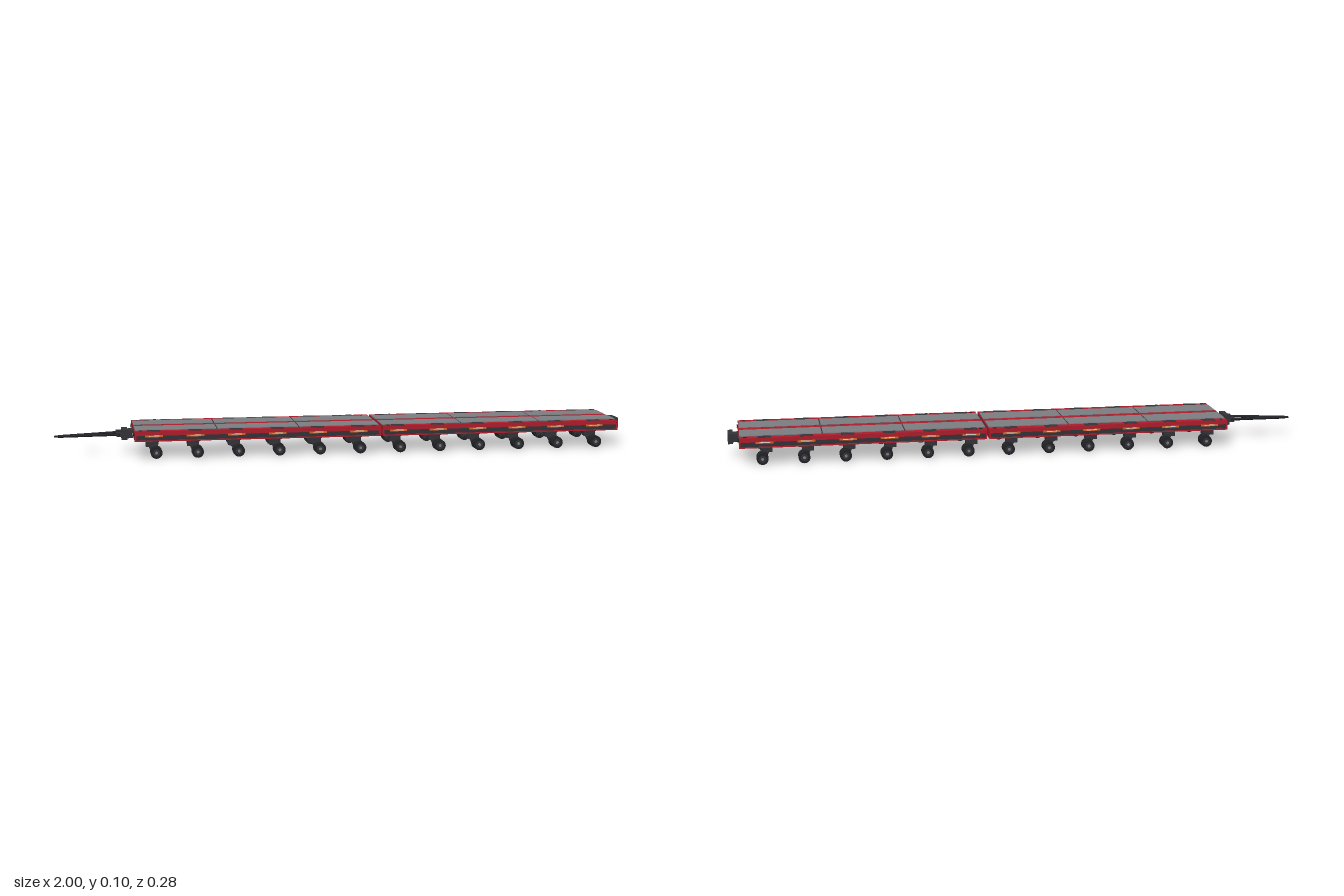
import * as THREE from 'three';

const mat = (name, color) => {
  const m = new THREE.MeshStandardMaterial({ color });
  m.name = name;
  return m;
};

export function createModel() {
  const red = mat('red paint', 0xb01c2c);
  const grey = mat('deck grey', 0x7c7f82);
  const dark = mat('dark steel', 0x343439);
  const black = mat('tyre black', 0x222326);
  const yellow = mat('yellow lamp', 0xd9b24a);
  const orange = mat('orange lamp', 0xd9641e);
  const white = mat('white lamp', 0xd8d8d4);

  const root = new THREE.Group();
  root.name = 'modularTrailer';

  // Box given by its minimum and maximum corners
  const box = (parent, name, m, x0, x1, y0, y1, z0, z1) => {
    const mesh = new THREE.Mesh(new THREE.BoxGeometry(x1 - x0, y1 - y0, z1 - z0), m);
    mesh.position.set((x0 + x1) / 2, (y0 + y1) / 2, (z0 + z1) / 2);
    mesh.name = name;
    parent.add(mesh);
    return mesh;
  };
  // The same box on both sides of the centre line
  const pair = (parent, name, m, x0, x1, y0, y1, z0, z1) => {
    box(parent, name, m, x0, x1, y0, y1, z0, z1);
    box(parent, name, m, x0, x1, y0, y1, -z1, -z0);
  };
  // Cylinder between two points
  const rod = (parent, name, m, a, b, r, sides = 16) => {
    const p = new THREE.Vector3(...a), q = new THREE.Vector3(...b);
    const d = q.clone().sub(p);
    const mesh = new THREE.Mesh(new THREE.CylinderGeometry(r, r, d.length(), sides), m);
    mesh.position.copy(p).add(q).multiplyScalar(0.5);
    mesh.quaternion.setFromUnitVectors(new THREE.Vector3(0, 1, 0), d.normalize());
    mesh.name = name;
    parent.add(mesh);
    return mesh;
  };

  // Two platform modules joined at a seam
  const modules = [[-0.73, 0.114], [0.122, 0.963]];
  modules.forEach(([x0, x1], i) => {
    const deck = new THREE.Group();
    deck.name = 'platformModule' + (i + 1);
    root.add(deck);
    box(deck, 'core', red, x0, x1, 0.06, 0.094, -0.132, 0.132);
    pair(deck, 'topRail', red, x0, x1, 0.08, 0.095, 0.132, 0.14);
    pair(deck, 'bottomRail', red, x0, x1, 0.06, 0.064, 0.132, 0.14);
    pair(deck, 'sideWeb', dark, x0 + 0.005, x1 - 0.005, 0.064, 0.08, 0.132, 0.136);
    for (const [a, b] of [[x0, x0 + 0.005], [x1 - 0.005, x1]]) {
      pair(deck, 'endCap', red, a, b, 0.06, 0.095, 0.131, 0.1405);
    }
    box(deck, 'centreStripe', red, x0, x1, 0.093, 0.0955, -0.016, 0.016);
    // Grey loading plates with dark joints
    const step = (x1 - x0) / 3;
    pair(deck, 'plateJoints', dark, x0 + 0.004, x1 - 0.004, 0.093, 0.0955, 0.017, 0.108);
    for (let k = 0; k < 3; k++) {
      const a = x0 + k * step + 0.002;
      pair(deck, 'deckPlate', grey, a, a + step - 0.004, 0.093, 0.097, 0.017, 0.109);
    }
    // Corner lashing points
    for (const x of [x0 + 0.02, x1 - 0.02]) for (const z of [-0.125, 0.125]) {
      rod(deck, 'lashingPoint', black, [x, 0.093, z], [x, 0.0957, z], 0.006);
    }
  });
  box(root, 'moduleCoupling', dark, 0.11, 0.126, 0.064, 0.088, -0.1, 0.1);

  // Twin-wheel swing axle; s is the side of the trailer
  const addBogie = (x, s) => {
    const g = new THREE.Group();
    g.name = 'wheelBogie';
    g.position.x = x;
    root.add(g);
    const zr = (a, b) => (s > 0 ? [a, b] : [-b, -a]);
    rod(g, 'turntable', dark, [-0.004, 0.052, s * 0.091], [-0.004, 0.061, s * 0.091], 0.024, 24);
    box(g, 'strut', dark, -0.026, 0.014, 0.036, 0.056, ...zr(0.079, 0.104));
    const arm = box(g, 'swingArm', dark, -0.012, 0.012, 0.014, 0.044, ...zr(0.081, 0.094));
    arm.rotation.z = 0.45;
    rod(g, 'axle', dark, [0.008, 0.02, s * 0.062], [0.008, 0.02, s * 0.134], 0.005);
    for (const z of [0.094, 0.117]) {
      rod(g, 'tyre', black, [0.008, 0.02, s * z], [0.008, 0.02, s * (z + 0.018)], 0.02, 24);
    }
    rod(g, 'hub', dark, [0.008, 0.02, s * 0.134], [0.008, 0.02, s * 0.136], 0.012, 20);
    rod(g, 'hubCap', grey, [0.008, 0.02, s * 0.135], [0.008, 0.02, s * 0.137], 0.005);
  };

  for (let i = 0; i < 12; i++) {
    const x = -0.665 + i * 0.1403;
    addBogie(x, 1);
    addBogie(x, -1);
    // Dark anchor pockets on the deck edge and markers on the side
    pair(root, 'anchorPocket', dark, x - 0.022, x + 0.022, 0.09, 0.0958, 0.112, 0.139);
    pair(root, 'sideMarker', orange, x - 0.03, x + 0.03, 0.075, 0.082, 0.135, 0.1408);
    pair(root, 'sideReflector', white, x - 0.018, x + 0.018, 0.0775, 0.0805, 0.136, 0.1414);
  }

  // Lamps on both end faces
  for (const [x, d] of [[0.963, 1], [-0.73, -1]]) {
    const xr = d > 0 ? [x - 0.001, x + 0.002] : [x - 0.002, x + 0.001];
    for (const z of [0.052, 0.071, 0.089]) {
      pair(root, 'endLamp', yellow, ...xr, 0.064, 0.075, z - 0.005, z + 0.005);
    }
    pair(root, 'indicator', orange, ...xr, 0.077, 0.083, 0.069, 0.082);
    for (const s of [-1, 1]) {
      rod(root, 'roundSocket', black, [x, 0.081, s * 0.102], [x + d * 0.004, 0.081, s * 0.102], 0.007);
      rod(root, 'roundLens', white, [x, 0.081, s * 0.102], [x + d * 0.005, 0.081, s * 0.102], 0.004);
    }
  }

  // Rear coupling head
  box(root, 'rearCoupling', dark, 0.962, 0.985, 0.056, 0.083, -0.024, 0.024);
  box(root, 'rearCouplingPlate', dark, 0.982, 1.0, 0.052, 0.087, -0.034, 0.034);
  // Front coupling head
  box(root, 'frontCoupling', dark, -0.755, -0.729, 0.056, 0.083, -0.026, 0.026);
  box(root, 'frontCouplingPlate', dark, -0.77, -0.75, 0.052, 0.087, -0.034, 0.034);
  pair(root, 'drawbarLug', dark, -0.788, -0.765, 0.062, 0.078, 0.021, 0.033);

  // A-frame drawbar
  const drawbar = new THREE.Group();
  drawbar.name = 'drawbar';
  root.add(drawbar);
  for (const s of [-1, 1]) {
    rod(drawbar, 'drawbarArm', black, [-0.775, 0.07, s * 0.028], [-0.985, 0.064, s * 0.003], 0.0045, 10);
  }
  rod(drawbar, 'hingePin', black, [-0.78, 0.07, -0.036], [-0.78, 0.07, 0.036], 0.005, 12);
  rod(drawbar, 'crossBar', black, [-0.845, 0.068, -0.02], [-0.845, 0.068, 0.02], 0.004, 10);
  const eye = new THREE.Mesh(new THREE.TorusGeometry(0.006, 0.003, 8, 20), black);
  eye.rotation.x = Math.PI / 2;
  eye.position.set(-0.991, 0.064, 0);
  eye.name = 'towEye';
  drawbar.add(eye);

  return root;
}
